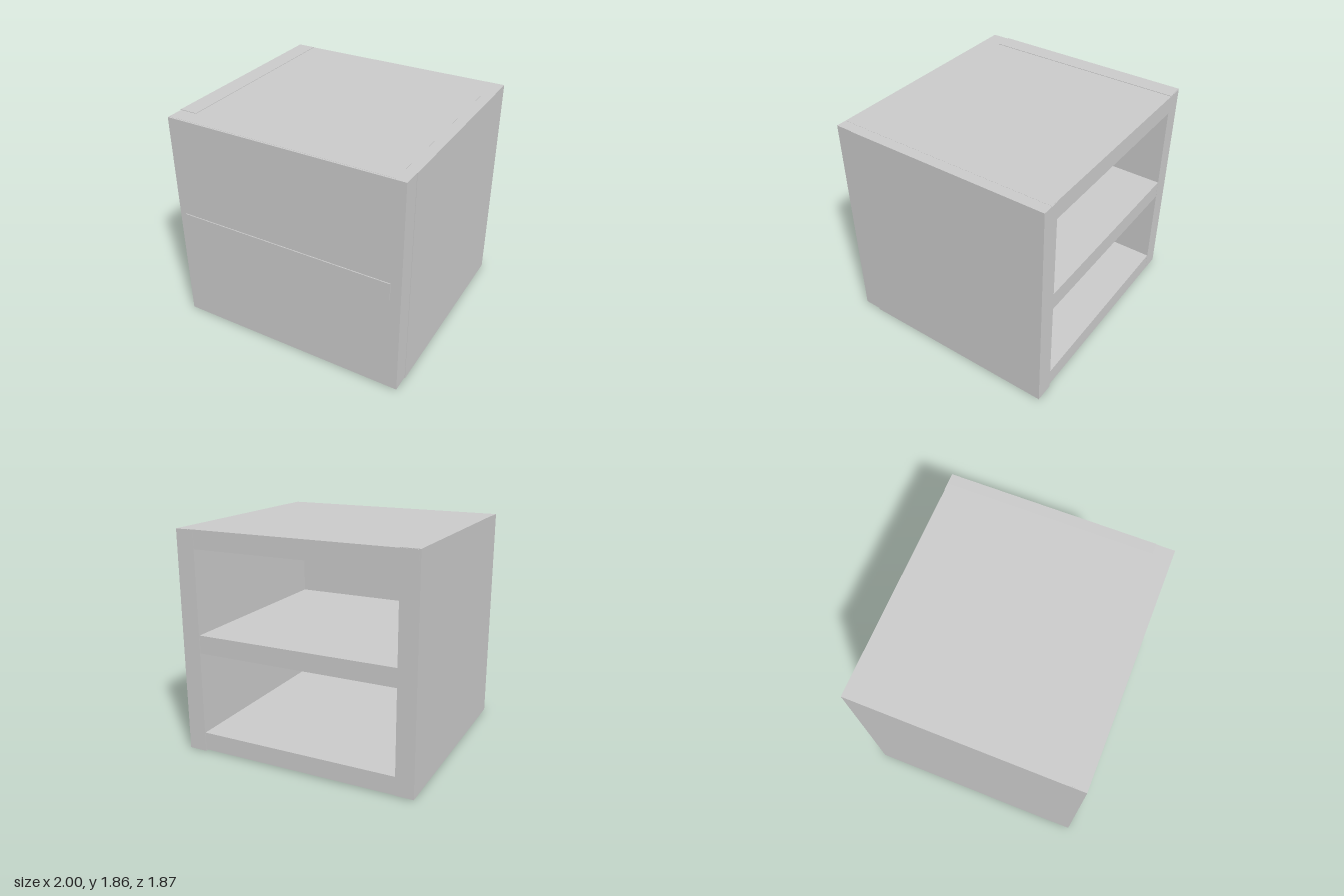
import * as THREE from 'three';

export function createModel() {
  const group = new THREE.Group();
  const material = new THREE.MeshStandardMaterial({ color: 0xcccccc, flatShading: true });

  // A board given by its extents along x, y and z
  function board(name, [x0, x1], [y0, y1], [z0, z1]) {
    const mesh = new THREE.Mesh(new THREE.BoxGeometry(x1 - x0, y1 - y0, z1 - z0), material);
    mesh.position.set((x0 + x1) / 2, (y0 + y1) / 2, (z0 + z1) / 2);
    mesh.name = name;
    group.add(mesh);
  }

  // Upright sides
  board('leftSide', [0.845, 1], [0, 1.85], [-0.935, 0.775]);
  board('rightSide', [-1, -0.85], [0.01, 1.855], [-0.928, 0.775]);

  // Closed front panel
  board('frontPanel', [-0.998, 0.996], [0.008, 1.85], [0.775, 0.925]);

  // Horizontal boards, open at the back
  board('bottomBoard', [-0.94, 0.91], [0.012, 0.163], [-0.927, 0.91]);
  board('shelf', [-0.94, 0.91], [0.856, 1.006], [-0.927, 0.933]);
  board('topBoard', [-0.99, 0.91], [1.7, 1.851], [-0.931, 0.91]);

  return group;
}
